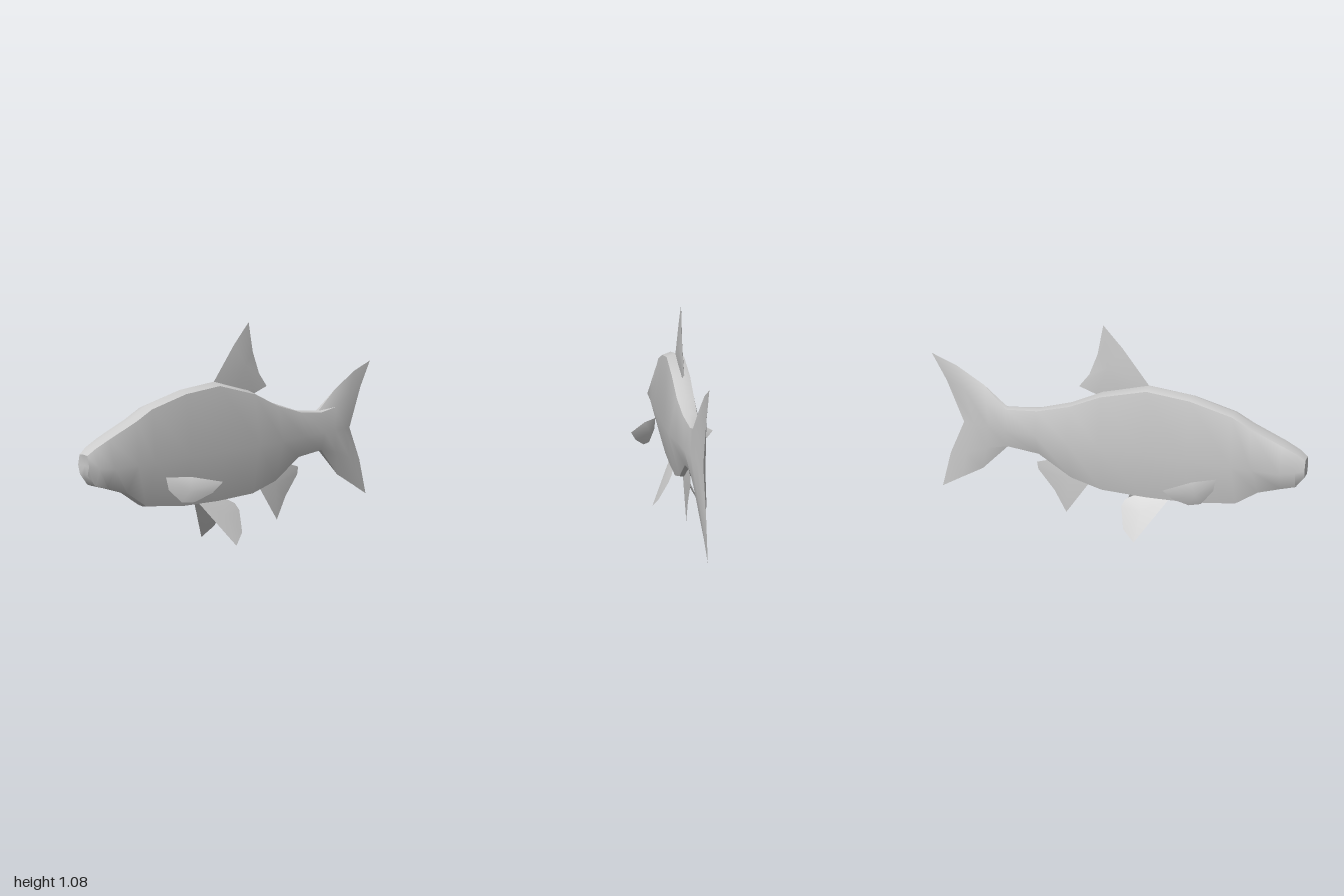
import * as THREE from 'three';
import { toCreasedNormals } from 'three/addons/utils/BufferGeometryUtils.js';

const material = new THREE.MeshStandardMaterial({ color: 0xcccccc, side: THREE.DoubleSide });

function makeMesh(name, geometry) {
  const mesh = new THREE.Mesh(geometry, material);
  mesh.name = name;
  return mesh;
}

function indexed(points, index) {
  const g = new THREE.BufferGeometry();
  g.setAttribute('position', new THREE.Float32BufferAttribute(points.flat(), 3));
  g.setIndex(index);
  return g;
}

// Half ring from top to bottom: five [x, y, z] points, mirrored into a closed ring of eight
function ring(half) {
  const left = half.slice(1, 4).reverse();
  return [half[0], ...half.slice(1, 4).map(([x, y, z]) => [-x, y, z]), half[4], ...left];
}

// Body station: depth z, top and bottom height, height of the widest line, three half widths
function bodyStation([z, top, bottom, mid, wTop, wMid, wLow, zBottom = z]) {
  const drop = (top - bottom) * 0.03;
  const zm = (z + zBottom) / 2;
  return [[0, top, z], [wTop, top - drop, z], [wMid, mid, zm],
    [wLow, bottom + drop * 0.3, zBottom], [0, bottom, zBottom]];
}

// Tail station: [z, y] of five rows, with the half widths of the inner three
function tailStation(rows, widths) {
  return rows.map(([z, y], i) => [widths[i - 1] ?? 0, y, z]);
}

function bodyGeometry() {
  const halves = [
    [0.99, 0.54, 0.45, 0.49, 0.028, 0.04, 0.028],
    [0.95, 0.57, 0.395, 0.48, 0.036, 0.062, 0.03],
    [0.88, 0.605, 0.373, 0.47, 0.042, 0.083, 0.03],
    [0.72, 0.675, 0.335, 0.47, 0.044, 0.083, 0.03, 0.77],
    [0.63, 0.725, 0.257, 0.47, 0.045, 0.083, 0.03, 0.66],
    [0.42, 0.78, 0.222, 0.47, 0.045, 0.083, 0.03],
    [0.2, 0.802, 0.212, 0.47, 0.045, 0.083, 0.03],
    [-0.04, 0.74, 0.215, 0.47, 0.045, 0.083, 0.03],
    [-0.21, 0.662, 0.257, 0.47, 0.042, 0.081, 0.028],
    [-0.39, 0.607, 0.36, 0.475, 0.034, 0.063, 0.024],
    [-0.57, 0.587, 0.375, 0.475, 0.024, 0.05, 0.022],
  ].map(bodyStation);
  halves.push(
    tailStation([[-0.7, 0.69], [-0.68, 0.6], [-0.67, 0.475], [-0.69, 0.35], [-0.73, 0.22]], [0.026, 0.034, 0.026]),
    tailStation([[-0.86, 0.78], [-0.81, 0.66], [-0.76, 0.472], [-0.82, 0.3], [-0.86, 0.147]], [0.016, 0.018, 0.016]),
    tailStation([[-1, 0.83], [-0.92, 0.69], [-0.83, 0.47], [-0.92, 0.28], [-0.98, 0.078]], [0, 0, 0]),
  );

  const points = halves.flatMap(ring);
  const index = [];
  for (let i = 0; i < halves.length - 1; i++) {
    for (let k = 0; k < 8; k++) {
      const a = i * 8 + k, b = i * 8 + (k + 1) % 8, c = a + 8, d = b + 8;
      index.push(a, c, b, b, c, d);
    }
  }
  // Slightly dished mouth closes the front
  const mouth = points.push([0, 0.49, 0.982]) - 1;
  for (let k = 0; k < 8; k++) index.push(mouth, k, (k + 1) % 8);
  return toCreasedNormals(indexed(points, index), 0.95);
}

// Thin fin: [z, y] outline, thickest at a hub; xAt gives the sideways lean
function finGeometry(outline, hub, thickness, xAt = () => 0) {
  const points = outline.map(([z, y]) => [xAt(z, y), y, z]);
  const n = points.length;
  const [hz, hy] = hub;
  points.push([xAt(hz, hy) + thickness, hy, hz], [xAt(hz, hy) - thickness, hy, hz]);
  const index = [];
  for (let i = 0; i < n; i++) {
    const j = (i + 1) % n;
    index.push(n, i, j, n + 1, j, i);
  }
  return toCreasedNormals(indexed(points, index), 0.6);
}

export function createModel() {
  const group = new THREE.Group();
  group.name = 'fish';
  group.add(makeMesh('bodyAndTail', bodyGeometry()));

  // Fins on the centre line
  group.add(makeMesh('dorsalFin', finGeometry(
    [[0.2, 0.8], [0.06, 0.975], [-0.04, 1.08], [-0.07, 0.93], [-0.115, 0.82], [-0.17, 0.752], [-0.08, 0.722], [0.06, 0.74]],
    [-0.01, 0.87], 0.01)));
  group.add(makeMesh('analFin', finGeometry(
    [[-0.1, 0.26], [-0.25, 0.045], [-0.315, 0.16], [-0.405, 0.265], [-0.412, 0.305], [-0.32, 0.335], [-0.22, 0.32]],
    [-0.23, 0.24], 0.009)));

  // Paired fins, one on each side
  for (const [side, s] of [['left', 1], ['right', -1]]) {
    group.add(makeMesh(side + 'PectoralFin', finGeometry(
      [[0.57, 0.39], [0.47, 0.388], [0.35, 0.36], [0.39, 0.31], [0.46, 0.268], [0.51, 0.268], [0.56, 0.33]],
      [0.49, 0.325], 0.022, (z) => s * (0.068 + (0.57 - z) * 0.69))));
    group.add(makeMesh(side + 'PelvicFin', finGeometry(
      [[0.32, 0.225], [0.17, 0.003], [0.105, 0.055], [0.075, 0.155], [0.09, 0.19], [0.16, 0.23]],
      [0.18, 0.15], 0.009, (z, y) => s * (0.02 + (0.215 - y) * 0.5))));
  }
  return group;
}
